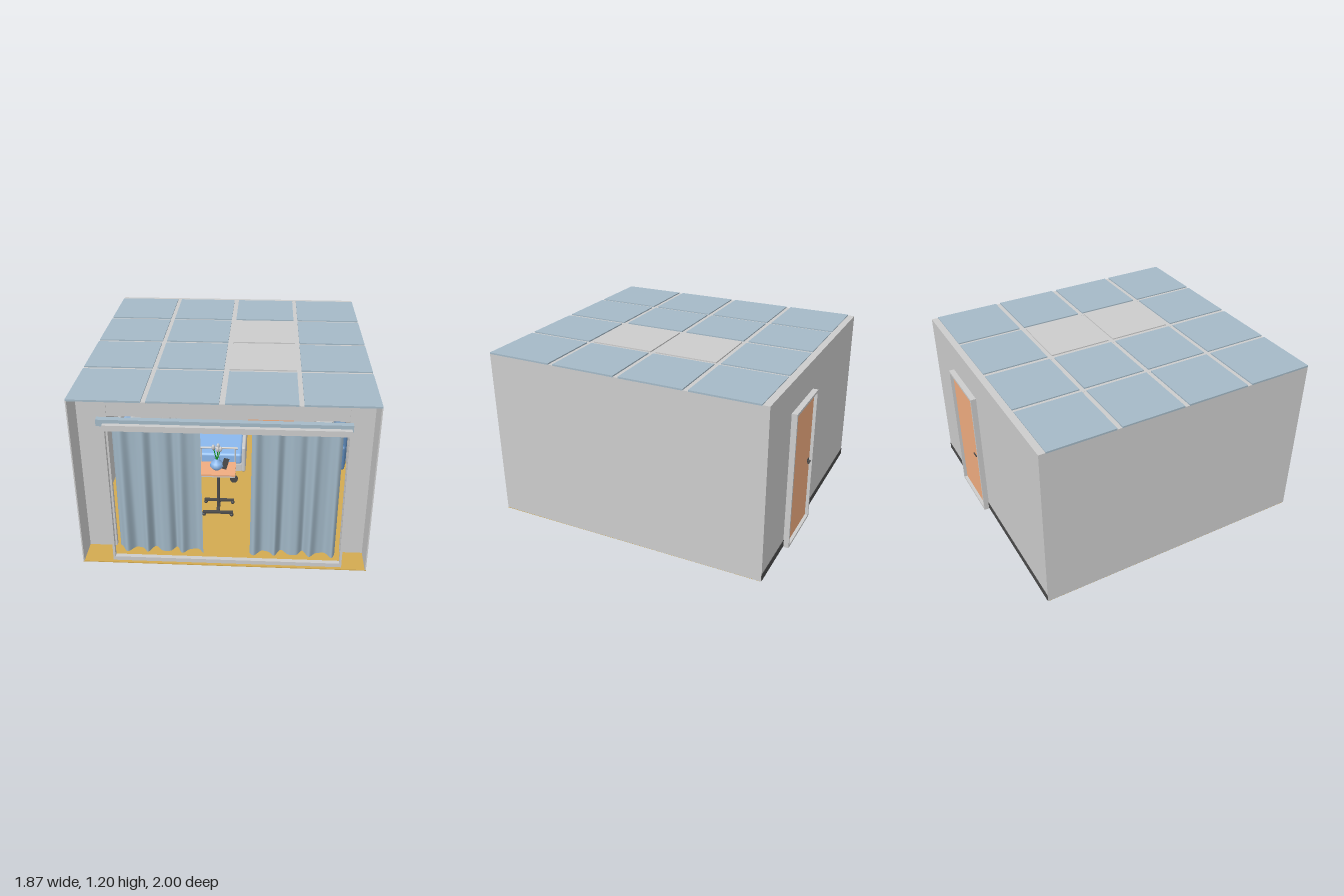
import * as THREE from 'three';
import { RoundedBoxGeometry } from 'three/addons/geometries/RoundedBoxGeometry.js';

const mat = (color, side = THREE.FrontSide) => new THREE.MeshStandardMaterial({ color, side });
const GREY = mat(0xcccccc), TILE = mat(0xa4b9c7), CLOTH = mat(0xa0b6c5, THREE.DoubleSide);
const WOOD = mat(0xf0ac80), FLOOR = mat(0xd2aa50), BLUE = mat(0x8ab8ee), DARK = mat(0x4a4a4a);
const GREEN = mat(0x12a022, THREE.DoubleSide), NAVY = mat(0x5b86b5);

export function createModel() {
  const root = new THREE.Group();
  let parent = root;

  const add = (name, geo, m, x = 0, y = 0, z = 0) => {
    const mesh = new THREE.Mesh(geo, m);
    mesh.name = name;
    mesh.position.set(x, y, z);
    parent.add(mesh);
    return mesh;
  };
  // Box given by its limits on each axis
  const box = (name, m, x0, x1, y0, y1, z0, z1) =>
    add(name, new THREE.BoxGeometry(x1 - x0, y1 - y0, z1 - z0), m, (x0 + x1) / 2, (y0 + y1) / 2, (z0 + z1) / 2);
  const soft = (name, m, x0, x1, y0, y1, z0, z1, r = 0.02) =>
    add(name, new RoundedBoxGeometry(x1 - x0, y1 - y0, z1 - z0, 3, r), m, (x0 + x1) / 2, (y0 + y1) / 2, (z0 + z1) / 2);
  // Round bar along a list of points
  const rod = (name, m, r, ...pts) => {
    for (let i = 1; i < pts.length; i++) {
      const a = new THREE.Vector3(...pts[i - 1]), b = new THREE.Vector3(...pts[i]);
      const bar = add(name, new THREE.CylinderGeometry(r, r, a.distanceTo(b), 10), m);
      bar.position.copy(a).lerp(b, 0.5);
      bar.quaternion.setFromUnitVectors(new THREE.Vector3(0, 1, 0), b.sub(a).normalize());
    }
  };
  const group = (name, x, z, build) => {
    const g = new THREE.Group();
    g.name = name;
    g.position.set(x, 0, z);
    root.add(g);
    parent = g;
    build();
    parent = root;
  };

  // Room shell
  const W = 0.935;
  box('floor', FLOOR, -W, W, 0, 0.006, -0.96, 1);
  for (const s of [-1, 1]) box('sideWall', GREY, s * W - (s > 0 ? 0.008 : 0), s * W + (s < 0 ? 0.008 : 0), 0.001, 1.189, -0.96, 1);
  box('backWallLeft', GREY, 0.515, W, 0.002, 1.194, -0.962, -0.915);
  box('backWallRight', GREY, -W, 0.095, 0.002, 1.194, -0.962, -0.915);
  box('backWallTop', GREY, 0.095, 0.515, 0.965, 1.194, -0.962, -0.915);
  for (const [a, b] of [[-W, 0.085], [0.525, W]]) box('baseboard', DARK, a, b, 0.008, 0.055, -0.965, -0.91);
  box('frontWallRight', GREY, -W, -0.74, 0, 1.19, 0.79, 0.82);
  box('frontWallLeft', GREY, 0.775, W, 0, 1.19, 0.79, 0.82);
  box('windowHeader', GREY, -0.74, 0.775, 1.0, 1.19, 0.79, 0.815);

  // Ceiling tiles on a grid of thin bars
  const cols = [[-W, -0.485], [-0.455, -0.02], [0.015, 0.45], [0.48, W]];
  const rows = [[-0.915, -0.455], [-0.42, 0.02], [0.055, 0.5], [0.535, 1]];
  cols.forEach(([x0, x1], c) => rows.forEach(([z0, z1], r) => {
    const light = c === 2 && (r === 1 || r === 2);
    box(light ? 'ceilingLight' : 'ceilingTile', light ? GREY : TILE, x0, x1, 1.188, 1.2, z0, z1);
  }));
  for (let i = 0; i < 3; i++) {
    box('ceilingBarLong', GREY, cols[i][1], cols[i + 1][0], 1.185, 1.192, -0.915, 1);
    box('ceilingBarCross', GREY, -W, W, 1.186, 1.1915, rows[i][1], rows[i + 1][0]);
  }

  // Back door with its frame and handles
  group('door', 0, 0, () => {
    for (const [a, b] of [[0.085, 0.1], [0.51, 0.525]]) box('doorJamb', GREY, a, b, 0, 0.98, -1, -0.9);
    box('doorLintel', GREY, 0.1, 0.51, 0.963, 0.98, -1, -0.9);
    box('doorSill', GREY, 0.1, 0.51, 0, 0.015, -1, -0.9);
    box('doorPanel', WOOD, 0.1, 0.51, 0.015, 0.963, -0.978, -0.925);
    for (const [z, o] of [[-0.978, -1], [-0.925, 1]]) {
      box('handlePlate', DARK, 0.12, 0.15, 0.458, 0.485, z - 0.005, z + 0.005);
      rod('handleLever', DARK, 0.005, [0.135, 0.471, z], [0.135, 0.471, z + o * 0.018], [0.18, 0.471, z + o * 0.018]);
    }
  });

  // Window frame, curtain rail and curtains
  group('window', 0, 0, () => {
    box('frameTop', GREY, -0.735, 0.775, 0.982, 1.02, 0.95, 0.98);
    box('frameBottom', GREY, -0.735, 0.775, 0.006, 0.035, 0.95, 0.98);
    for (const [a, b] of [[-0.735, -0.72], [0.76, 0.775]]) box('frameSide', GREY, a, b, 0.035, 0.982, 0.95, 0.98);
    box('curtainRail', TILE, -0.79, 0.79, 0.975, 1.02, 0.865, 0.905);
    for (const [a, b, phase] of [[-0.70, -0.145, 0], [0.175, 0.735, 1.7]]) {
      const geo = new THREE.PlaneGeometry(b - a, 0.945, 100, 8), p = geo.attributes.position;
      for (let i = 0; i < p.count; i++) {
        const x = p.getX(i), down = 0.5 - p.getY(i) / 0.945;
        const t = x * 50 + phase;
        p.setZ(i, (0.012 + 0.014 * down) * (Math.sin(t) + 0.35 * Math.sin(t * 1.7 + 2)));
        p.setX(i, x + 0.006 * down * Math.sin(t * 0.6));
      }
      geo.computeVertexNormals();
      add('curtain', geo, CLOTH, (a + b) / 2, 0.505, 0.885);
    }
  });

  // Bed, head against the right wall
  group('bed', 0, -0.2, () => {
    box('bedBase', GREY, -0.86, 0.08, 0.12, 0.18, -0.2, 0.2);
    soft('mattress', BLUE, -0.87, 0.08, 0.18, 0.27, -0.2, 0.2);
    const back = soft('backrest', BLUE, -0.18, 0.18, -0.03, 0.03, -0.19, 0.19);
    back.position.set(-0.72, 0.32, 0);
    back.rotation.z = -0.45;
    const pillow = soft('pillow', GREY, -0.07, 0.07, -0.025, 0.025, -0.13, 0.13);
    pillow.position.set(-0.76, 0.385, 0);
    pillow.rotation.z = -0.45;
    soft('footboard', GREY, 0.08, 0.11, 0.12, 0.335, -0.21, 0.21, 0.012);
    soft('headboard', GREY, -0.91, -0.88, 0.12, 0.46, -0.21, 0.21, 0.012);
    for (const z of [-0.21, 0.21]) {
      rod('sideRail', GREY, 0.008, [-0.5, 0.33, z], [0.05, 0.33, z]);
      for (let i = 0; i < 5; i++) rod('railPost', GREY, 0.006, [-0.49 + i * 0.13, 0.16, z], [-0.49 + i * 0.13, 0.33, z]);
      for (const x of [-0.8, 0.02]) {
        rod('bedLeg', GREY, 0.014, [x, 0.05, z * 0.85], [x, 0.13, z * 0.85]);
        add('bedWheel', new THREE.CylinderGeometry(0.03, 0.03, 0.02, 16).rotateX(Math.PI / 2), DARK, x, 0.035, z * 0.85);
      }
    }
  });

  // Rolling table with a vase of tulips and a small picture stand
  group('rollingTable', -0.075, 0.36, () => {
    box('tableTop', WOOD, -0.15, 0.125, 0.35, 0.362, -0.09, 0.09);
    box('tableTray', GREY, -0.14, 0.115, 0.335, 0.35, -0.08, 0.08);
    box('tablePost', DARK, -0.01, 0.01, 0.04, 0.335, -0.02, 0.02);
    for (const z of [-0.08, 0.08]) {
      box('tableFoot', DARK, -0.11, 0.11, 0.032, 0.045, z - 0.012, z + 0.012);
      for (const x of [-0.1, 0.1]) add('caster', new THREE.SphereGeometry(0.014, 12, 8), DARK, x, 0.02, z);
    }
    box('tableBaseBar', DARK, -0.012, 0.012, 0.032, 0.045, -0.08, 0.08);
    const profile = [[0, 0], [0.03, 0], [0.05, 0.025], [0.04, 0.05], [0.018, 0.07], [0.022, 0.085], [0.014, 0.08], [0, 0.04]];
    add('vase', new THREE.LatheGeometry(profile.map(p => new THREE.Vector2(...p)), 20), BLUE, -0.01, 0.362, 0);
    for (let i = 0; i < 5; i++) {
      const a = i * 1.257, x = -0.01 + 0.028 * Math.cos(a), z = 0.028 * Math.sin(a), y = 0.52 + 0.012 * (i % 3);
      rod('tulipStem', GREEN, 0.003, [-0.01, 0.42, 0], [x, y, z]);
      add('tulipFlower', new THREE.SphereGeometry(0.012, 10, 8).scale(1, 1.7, 1), GREY, x, y, z);
    }
    const stand = box('pictureStand', DARK, -0.02, 0.02, 0.362, 0.44, -0.004, 0.004);
    stand.position.x = 0.05;
    stand.rotation.set(-0.25, 0.4, -0.3);
  });

  // Drip stand on five casters
  group('dripStand', -0.36, 0.42, () => {
    rod('standPole', GREY, 0.008, [0, 0.05, 0], [0, 0.88, 0]);
    add('standHub', new THREE.CylinderGeometry(0.02, 0.028, 0.035, 16), GREY, 0, 0.06, 0);
    for (let i = 0; i < 5; i++) {
      const a = i * Math.PI * 0.4, x = 0.1 * Math.cos(a), z = 0.1 * Math.sin(a);
      rod('standLeg', GREY, 0.01, [0, 0.06, 0], [x, 0.042, z]);
      add('standCaster', new THREE.SphereGeometry(0.018, 12, 8), DARK, x, 0.023, z);
    }
    rod('standHooks', GREY, 0.005, [-0.08, 0.89, 0], [-0.06, 0.87, 0], [0.06, 0.87, 0], [0.08, 0.89, 0]);
    soft('dripBag', GREY, -0.095, -0.035, 0.7, 0.85, -0.012, 0.012, 0.01);
    const hose = new THREE.CatmullRomCurve3([[-0.065, 0.7, 0], [-0.06, 0.5, 0.03], [-0.14, 0.42, -0.1], [-0.2, 0.4, -0.35]]
      .map(p => new THREE.Vector3(...p)));
    add('dripHose', new THREE.TubeGeometry(hose, 24, 0.003, 6), DARK);
  });

  // Armchair and potted plant along the left wall
  group('armchair', 0.72, -0.35, () => {
    soft('chairSeat', NAVY, -0.14, 0.16, 0.08, 0.2, -0.15, 0.15);
    soft('chairBack', NAVY, 0.1, 0.18, 0.08, 0.38, -0.17, 0.17);
    for (const z of [-0.17, 0.17]) soft('chairArm', NAVY, -0.13, 0.17, 0.06, 0.27, z - 0.03, z + 0.03);
    for (const x of [-0.1, 0.14]) for (const z of [-0.14, 0.14]) rod('chairLeg', DARK, 0.012, [x, 0.006, z], [x, 0.09, z]);
  });
  group('plant', 0.76, -0.75, () => {
    add('plantPot', new THREE.CylinderGeometry(0.085, 0.06, 0.2, 20), GREY, 0, 0.106, 0);
    for (let i = 0; i < 10; i++) {
      const leaf = add('plantLeaf', new THREE.SphereGeometry(0.5, 10, 8).scale(0.05, 0.32, 0.012).translate(0, 0.16, 0), GREEN, 0, 0.19, 0);
      leaf.rotation.set(0.15 + 0.12 * (i % 3), i * 2.4, 0, 'YXZ');
    }
  });

  // Round wall clock
  group('clock', 0.72, -0.905, () => {
    add('clockFace', new THREE.CylinderGeometry(0.06, 0.06, 0.012, 32).rotateX(Math.PI / 2), GREY, 0, 0.9, 0);
    add('clockRim', new THREE.TorusGeometry(0.06, 0.006, 8, 32), DARK, 0, 0.9, 0.006);
    box('clockMinuteHand', DARK, -0.002, 0.002, 0.9, 0.945, 0.006, 0.009);
    box('clockHourHand', DARK, 0, 0.03, 0.898, 0.902, 0.006, 0.009);
  });

  return root;
}
